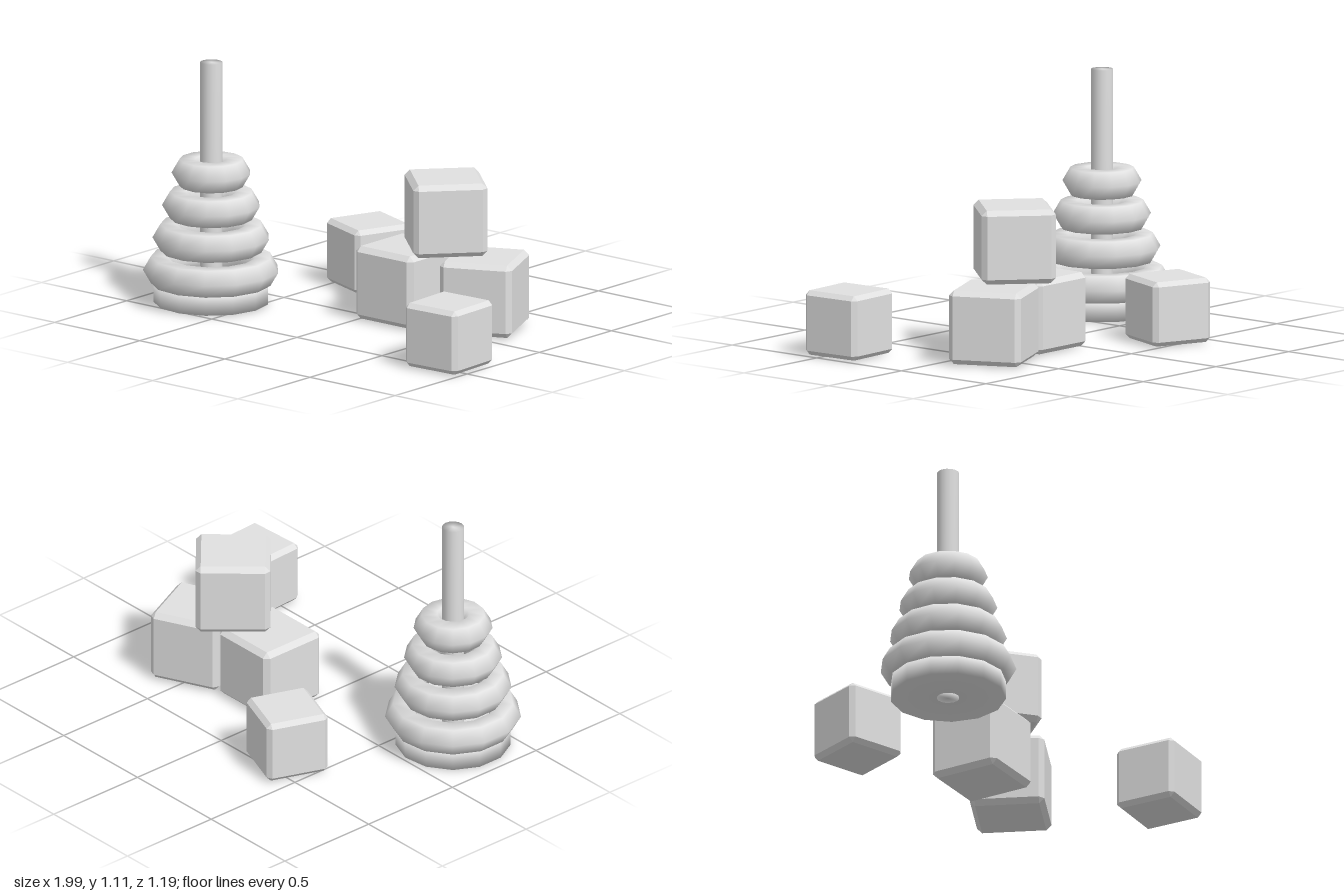
import * as THREE from 'three';
import { mergeVertices } from 'three/addons/utils/BufferGeometryUtils.js';
import { ConvexGeometry } from 'three/addons/geometries/ConvexGeometry.js';

const SIDES = 13;

// Welds all seams so the shading runs smoothly over every edge
function smooth(geometry) {
  geometry.deleteAttribute('uv');
  geometry.deleteAttribute('normal');
  const welded = mergeVertices(geometry, 1e-4);
  welded.computeVertexNormals();
  return welded;
}

// Cube with one flat chamfer along each edge
function chamferedCube(size, chamfer) {
  const h = size / 2, k = h - chamfer, points = [];
  for (const x of [-1, 1]) for (const y of [-1, 1]) for (const z of [-1, 1]) {
    points.push(
      new THREE.Vector3(x * h, y * k, z * k),
      new THREE.Vector3(x * k, y * h, z * k),
      new THREE.Vector3(x * k, y * k, z * h));
  }
  return new ConvexGeometry(points);
}

export function createModel() {
  const model = new THREE.Group();
  model.name = 'toyBlocksAndRingStacker';
  const grey = new THREE.MeshStandardMaterial({ color: 0xe0e0e0 });
  grey.name = 'light grey';

  const add = (parent, name, geometry, x, y, z) => {
    const mesh = new THREE.Mesh(geometry, grey);
    mesh.name = name;
    mesh.position.set(x, y, z);
    parent.add(mesh);
    return mesh;
  };

  // Ring stacker: base, pole and four shrinking rings
  const stacker = new THREE.Group();
  stacker.name = 'ringStacker';
  stacker.position.set(-0.696, 0, 0.272);
  model.add(stacker);

  const base = smooth(new THREE.CylinderGeometry(0.26, 0.26, 0.088, SIDES));
  add(stacker, 'stackerBase', base, 0, 0.048, 0).rotation.y = Math.PI / 2;
  const pole = smooth(new THREE.CylinderGeometry(0.05, 0.05, 1.112, 16));
  add(stacker, 'stackerPole', pole, 0, 0.556, 0);

  for (let i = 0; i < 4; i++) {
    const ring = new THREE.TorusGeometry(0.236 - i * 0.0428, 0.071, 6, SIDES);
    ring.rotateX(-Math.PI / 2);
    add(stacker, 'ring' + (i + 1), smooth(ring), 0, 0.152 + i * 0.15, 0);
  }

  // Blocks: name, size, x, bottom, z, turn in degrees
  const blocks = [
    ['largeBlockLeft', 0.336, 0.158, 0.005, -0.071, 0],
    ['largeBlockRight', 0.336, 0.546, 0.005, -0.156, 25],
    ['largeBlockTop', 0.336, 0.355, 0.347, -0.115, 48],
    ['smallBlockFront', 0.293, 0.845, 0.005, 0.442, 2.7],
    ['smallBlockBack', 0.293, -0.35, 0.005, -0.414, -20.5],
  ];
  for (const [name, size, x, bottom, z, turn] of blocks) {
    const block = add(model, name, chamferedCube(size, size * 0.07), x, bottom + size / 2, z);
    block.rotation.y = THREE.MathUtils.degToRad(turn);
  }
  return model;
}
